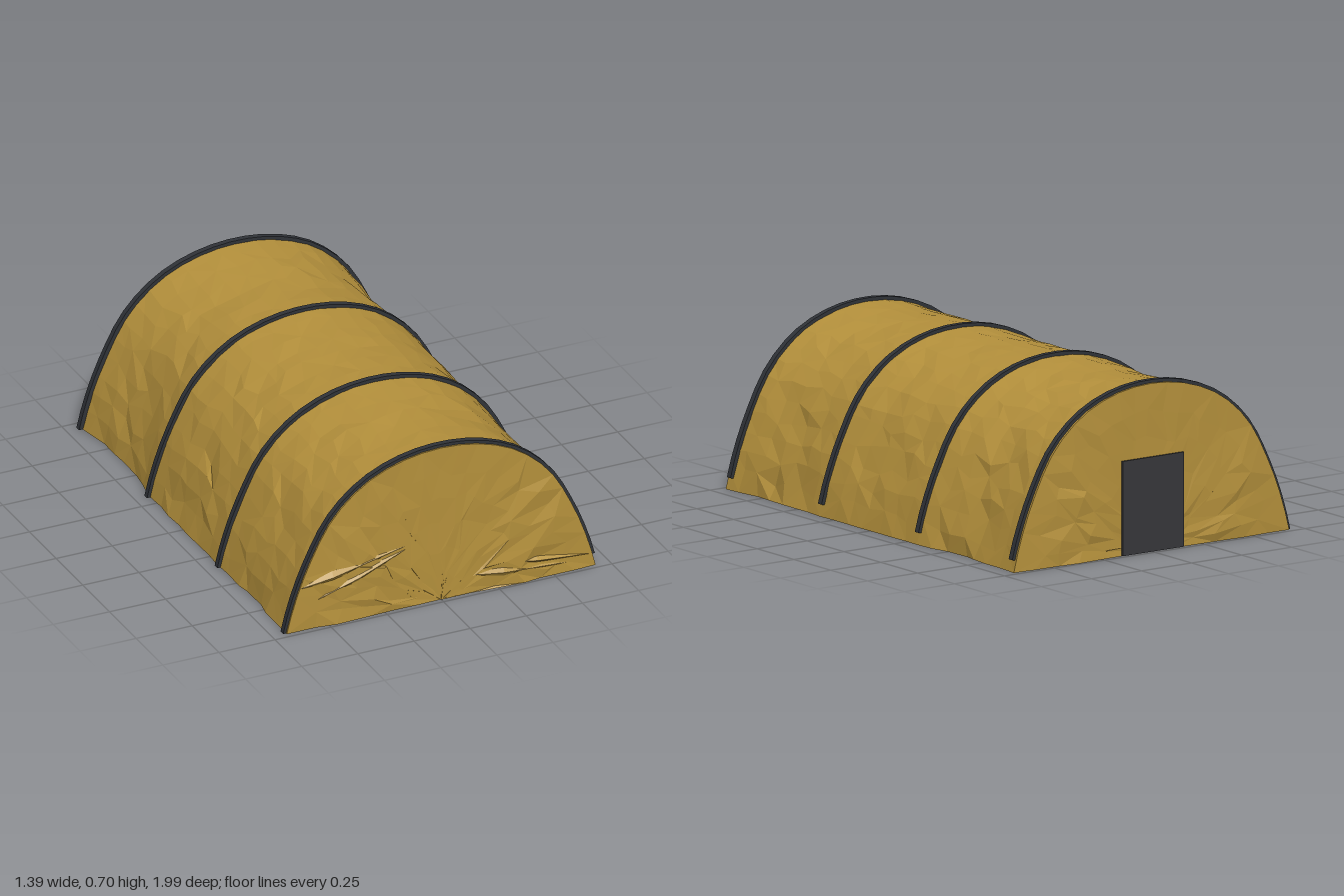
import * as THREE from 'three';

const canvasMat = new THREE.MeshStandardMaterial({ color: 0xb5913c, flatShading: true, side: THREE.DoubleSide });
canvasMat.name = 'ochreCanvas';
const ribMat = new THREE.MeshStandardMaterial({ color: 0x303338, flatShading: true });
ribMat.name = 'darkRib';
const doorMat = new THREE.MeshStandardMaterial({ color: 0x37373a });
doorMat.name = 'charcoalDoor';

const RIBS = [-0.955, -0.318, 0.34, 0.958];
const END = 0.978;   // z of the end walls
const ARC = 26;      // segments around the arch

// Outer arch, from the ground at -x over the ridge to the ground at +x
const half = [[0.7, 0], [0.665, 0.13], [0.6, 0.295], [0.5, 0.475], [0.36, 0.605], [0.19, 0.68]];
const archCurve = new THREE.SplineCurve([
  ...half.map(([x, y]) => new THREE.Vector2(-x, y)),
  new THREE.Vector2(0, 0.705),
  ...half.slice().reverse().map(([x, y]) => new THREE.Vector2(x, y)),
]);
function arch(u, inset) {
  const p = archCurve.getPointAt(u), t = archCurve.getTangentAt(u);
  return new THREE.Vector2(p.x + t.y * inset, Math.max(0, p.y - t.x * inset));
}

// Seeded noise in -1..1
function makeNoise(seed) {
  return () => {
    seed = (seed * 16807) % 2147483647;
    return (seed / 2147483647) * 2 - 1;
  };
}

// Grid of (cols + 1) x (rows + 1) points as a surface
function gridGeometry(cols, rows, point) {
  const pos = [], idx = [];
  for (let j = 0; j <= rows; j++) {
    for (let i = 0; i <= cols; i++) pos.push(...point(i, j));
  }
  for (let j = 0; j < rows; j++) {
    for (let i = 0; i < cols; i++) {
      const a = j * (cols + 1) + i, b = a + 1, c = a + cols + 1, d = c + 1;
      if ((i * 7 + j * 5) % 3) idx.push(a, c, b, b, c, d);
      else idx.push(a, c, d, a, d, b);
    }
  }
  const g = new THREE.BufferGeometry();
  g.setAttribute('position', new THREE.Float32BufferAttribute(pos, 3));
  g.setIndex(idx);
  g.computeVertexNormals();
  return g;
}

// Cloth roof sagging between the ribs
function roofGeometry() {
  const noise = makeNoise(4711), rows = 21;
  const sideSag = [[0.036, 0.022], [0.004, 0.008], [0.008, 0.02]]; // [-x, +x] for each bay
  return gridGeometry(ARC, rows, (i, j) => {
    const edge = j === 0 || j === rows;
    let z = -END + (2 * END * j) / rows, u = i / ARC, inset = 0.013;
    if (!edge) {
      z += noise() * 0.022;
      if (i > 0 && i < ARC) u += noise() * 0.01;
      const bay = z < RIBS[1] ? 0 : z < RIBS[2] ? 1 : 2;
      const k = THREE.MathUtils.clamp((z - RIBS[bay]) / (RIBS[bay + 1] - RIBS[bay]), 0, 1);
      const wave = Math.sin(Math.PI * k), side = Math.abs(2 * u - 1);
      const sag = THREE.MathUtils.lerp(0.01, sideSag[bay][u < 0.5 ? 0 : 1], side);
      inset += wave * (sag + noise() * (0.004 + 0.007 * side));
    }
    const p = arch(u, inset);
    return [p.x, p.y, z];
  });
}

// End wall: rings shrinking from the arch to the middle of the ground line
function endWallGeometry(dir) {
  const noise = makeNoise(dir > 0 ? 97 : 1234), rings = 6;
  return gridGeometry(ARC, rings, (i, j) => {
    const s = 1 - j / rings, p = arch(i / ARC, 0.013).multiplyScalar(s);
    let z = END;
    if (j > 0) {
      const lump = Math.exp(-(((Math.abs(p.x) - 0.4) / 0.16) ** 2));
      const low = Math.exp(-(((p.y - 0.12) / 0.18) ** 2));
      z += lump * (0.004 + 0.009 * low) + noise() * (0.002 + 0.006 * lump);
      if (j < rings) {
        p.x += noise() * 0.03;
        if (i > 0 && i < ARC) p.y = Math.max(0, p.y + noise() * 0.02);
      }
    }
    return [p.x, p.y, dir * Math.min(z, 0.997)];
  });
}

// Crumpled fold: a shallow pinched ridge between two points
function foldGeometry([ax, ay], [bx, by], width, at) {
  const mx = THREE.MathUtils.lerp(ax, bx, at), my = THREE.MathUtils.lerp(ay, by, at);
  const g = new THREE.BufferGeometry();
  g.setAttribute('position', new THREE.Float32BufferAttribute([
    ax, ay, 0.984, bx, by, 0.984, mx, my + width, 0.982, mx, my - width, 0.982, mx, my, 0.999,
  ], 3));
  g.setIndex([0, 4, 2, 0, 3, 4, 1, 2, 4, 1, 4, 3]);
  g.computeVertexNormals();
  return g;
}

// Rib: arched band, its +x foot ending just above the ground
function ribGeometry() {
  const outer = [], inner = [];
  for (let i = 0; i <= 28; i++) {
    const u = (i / 28) * 0.976;
    outer.push(arch(u, 0));
    inner.unshift(arch(u, 0.024));
  }
  const g = new THREE.ExtrudeGeometry(new THREE.Shape([...outer, ...inner]), { depth: 0.025, bevelEnabled: false });
  return g.translate(0, 0, -0.0125);
}

export function createModel() {
  const model = new THREE.Group();
  model.name = 'archedTent';
  const add = (name, geometry, material) => {
    const mesh = new THREE.Mesh(geometry, material);
    mesh.name = name;
    model.add(mesh);
    return mesh;
  };

  add('roof', roofGeometry(), canvasMat);
  add('frontWall', endWallGeometry(1), canvasMat);
  add('backWall', endWallGeometry(-1), canvasMat);

  // Folds on the front wall
  [
    [[-0.63, 0.195], [-0.16, 0.285], 0.025, 0.3],
    [[-0.55, 0.13], [-0.16, 0.27], 0.025, 0.45],
    [[0.15, 0.08], [0.56, 0.045], 0.025, 0.3],
    [[0.26, 0.11], [0.665, 0.06], 0.015, 0.4],
  ].forEach((f, i) => add('frontFold' + (i + 1), foldGeometry(...f), canvasMat));

  // Ribs
  const rib = ribGeometry();
  RIBS.forEach((z, i) => { add('rib' + (i + 1), rib, ribMat).position.z = z; });

  // Door on the back wall
  add('door', new THREE.BoxGeometry(0.305, 0.39, 0.008), doorMat).position.set(0, 0.197, -0.987);
  return model;
}
